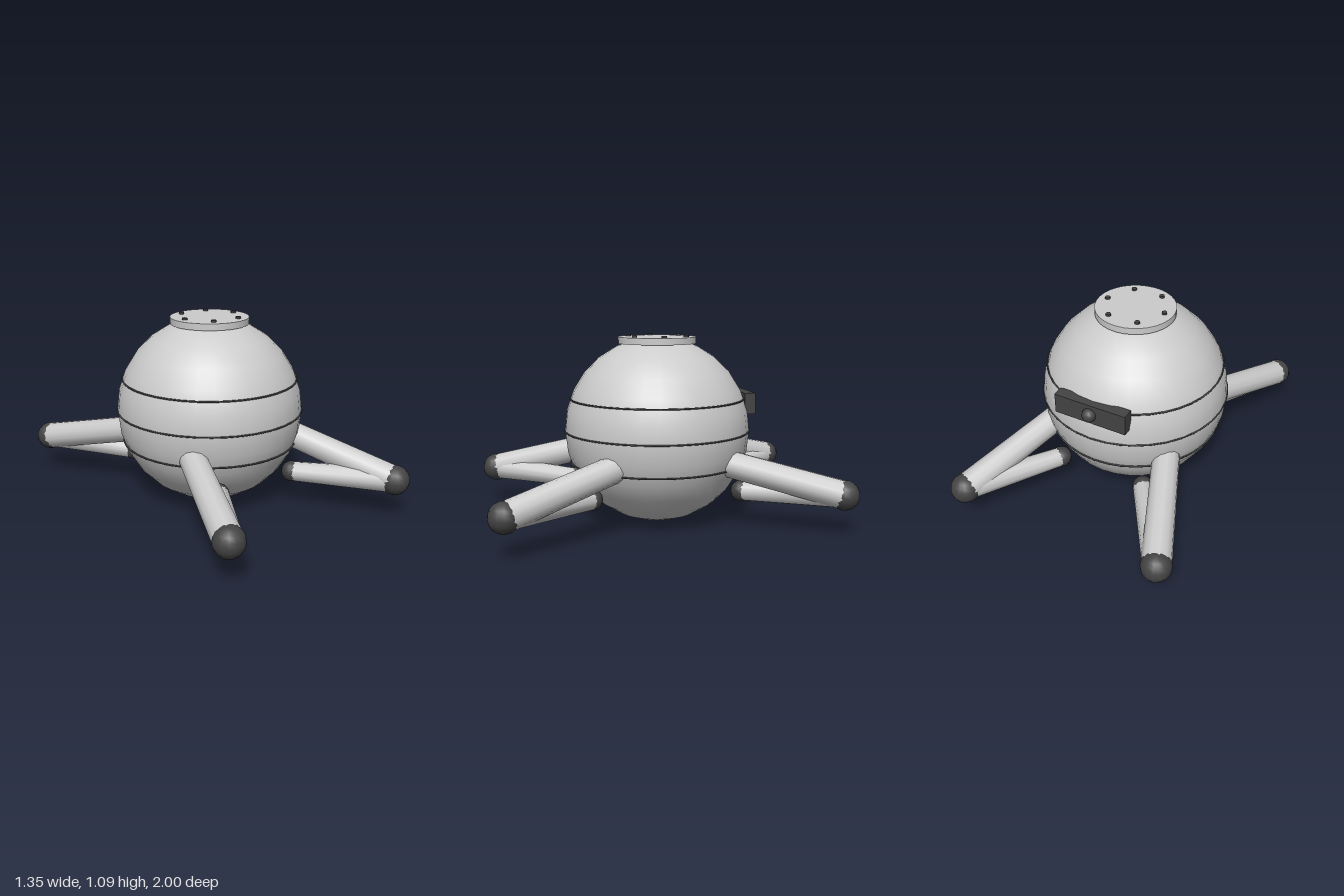
import * as THREE from 'three';

const grey = new THREE.MeshStandardMaterial({ color: 0xcccccc });
const dark = new THREE.MeshStandardMaterial({ color: 0x444444 });

function add(parent, name, geometry, material, x = 0, y = 0, z = 0) {
  const mesh = new THREE.Mesh(geometry, material);
  mesh.name = name;
  mesh.position.set(x, y, z);
  parent.add(mesh);
  return mesh;
}

// Tapered tube between two points
function addStrut(parent, name, from, to, rFrom, rTo) {
  const dir = to.clone().sub(from);
  const mid = from.clone().add(to).multiplyScalar(0.5);
  const strut = add(parent, name, new THREE.CylinderGeometry(rTo, rFrom, dir.length(), 12), grey, mid.x, mid.y, mid.z);
  strut.quaternion.setFromUnitVectors(new THREE.Vector3(0, 1, 0), dir.normalize());
}

export function createModel() {
  const model = new THREE.Group();
  model.name = 'sphericalPod';
  const R = 0.538, cy = 0.54;

  // Spherical hull
  add(model, 'hull', new THREE.SphereGeometry(R, 32, 14), grey, 0, cy, 0);

  // Seam rings at and around the equator
  for (const dy of [-0.185, 0, 0.185]) {
    const r = Math.sqrt(R * R - dy * dy);
    const ring = add(model, 'seamRing', new THREE.TorusGeometry(r, 0.005, 6, 40), dark, 0, cy + dy, 0);
    ring.rotation.x = Math.PI / 2;
  }

  // Top hatch with six bolts
  add(model, 'hatch', new THREE.CylinderGeometry(0.226, 0.226, 0.038, 32), grey, 0, 1.059, 0);
  for (let i = 0; i < 6; i++) {
    const a = i * Math.PI / 3;
    add(model, 'hatchBolt', new THREE.CylinderGeometry(0.015, 0.015, 0.02, 8), dark,
      0.174 * Math.cos(a), 1.079, 0.174 * Math.sin(a));
  }

  // Rear sensor bar with a round lens
  add(model, 'sensorBar', new THREE.BoxGeometry(0.425, 0.12, 0.065), dark, 0, 0.7, -0.498);
  add(model, 'sensorLens', new THREE.SphereGeometry(0.04, 12, 10), dark, 0, 0.7, -0.536);

  // Four legs: main strut, lower brace, ball joint and foot
  for (const sx of [-1, 1]) for (const sz of [-1, 1]) {
    const leg = new THREE.Group();
    leg.name = (sz > 0 ? 'front' : 'back') + (sx > 0 ? 'Left' : 'Right') + 'Leg';
    const foot = new THREE.Vector3(0.59 * sx, 0.23, 0.916 * sz);
    const hip = new THREE.Vector3(0.34 * sx, 0.4, 0.28 * sz);
    const joint = new THREE.Vector3(0.268 * sx, 0.205, 0.43 * sz);
    addStrut(leg, 'mainStrut', foot, hip, 0.08, 0.076);
    addStrut(leg, 'lowerBrace', foot, joint, 0.072, 0.056);
    add(leg, 'foot', new THREE.SphereGeometry(0.084, 14, 10), dark, ...foot.toArray());
    add(leg, 'braceJoint', new THREE.SphereGeometry(0.06, 12, 8), dark, ...joint.toArray());
    model.add(leg);
  }
  return model;
}
